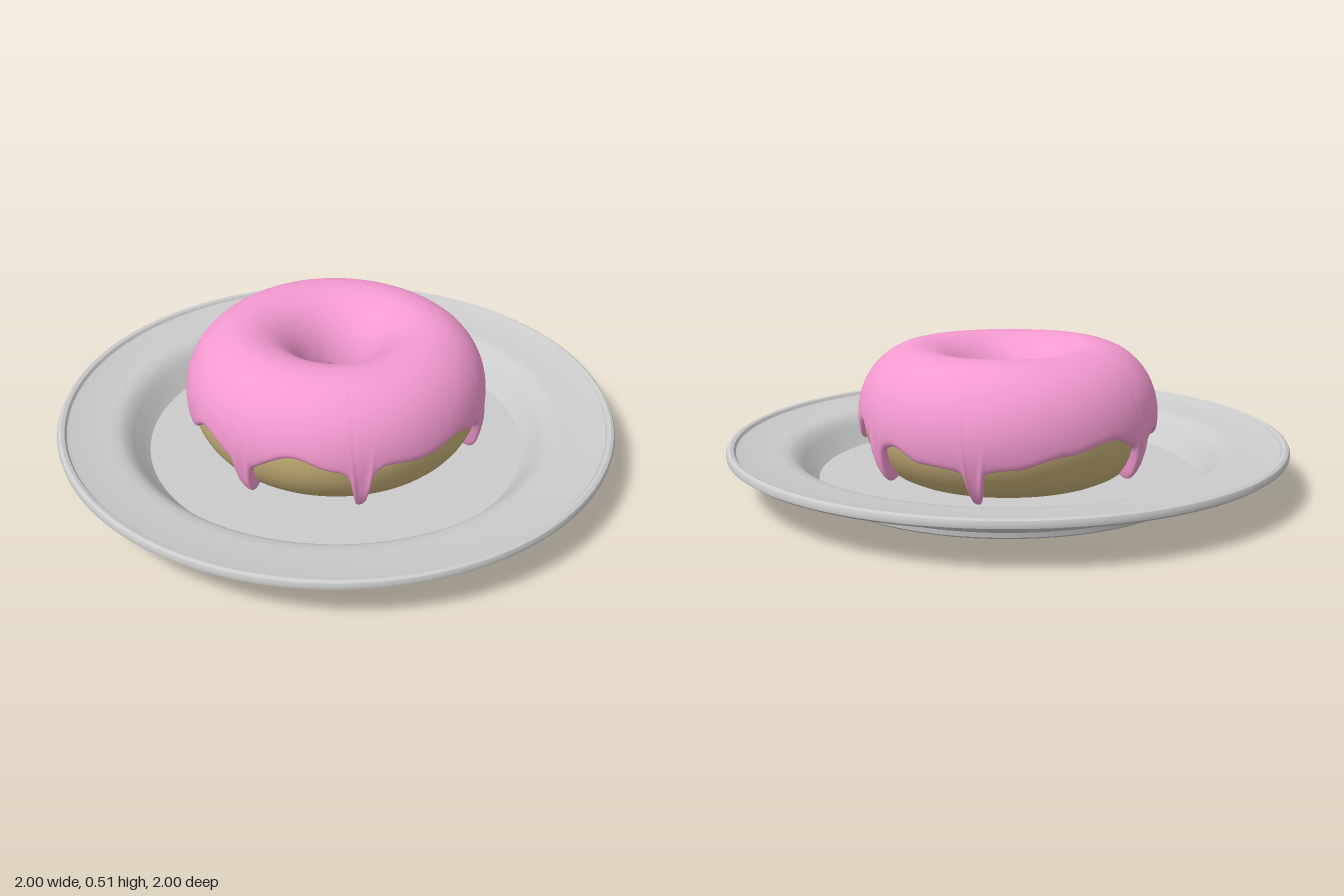
import * as THREE from 'three';
import { toCreasedNormals } from 'three/addons/utils/BufferGeometryUtils.js';

// Ring-shaped dough: ring radius, tube half-width, tube half-height, centre height
const RING = 0.325, TUBE = 0.195, HALF_H = 0.225, MID_Y = 0.265;

// Icing hem: [azimuth in degrees from the front towards +x, height]
const HEM = [
  [3, 0.2], [24, 0.28], [40, 0.24], [49, 0.2], [58, 0.25], [72, 0.24], [90, 0.265],
  [104, 0.235], [112, 0.2], [125, 0.24], [138, 0.255], [146, 0.18], [156, 0.265],
  [171, 0.2], [182, 0.22], [195, 0.18], [216, 0.17], [230, 0.18], [250, 0.22],
  [270, 0.25], [288, 0.2], [302, 0.23], [318, 0.18], [328, 0.2], [343, 0.265], [363, 0.2],
];
// Long drips: [azimuth, height of the tip]
const DRIPS = [[3, 0.087], [49, 0.096], [112, 0.115], [171, 0.09], [216, 0.065], [288, 0.093]];

function hemHeight(az) {
  if (az < HEM[0][0]) az += 360;
  const i = HEM.findIndex((p, k) => k > 0 && az <= p[0]);
  const [a0, y0] = HEM[i - 1], [a1, y1] = HEM[i];
  return THREE.MathUtils.lerp(y0, y1, THREE.MathUtils.smoothstep(az, a0, a1));
}

function angleGap(a, b) {
  return ((a - b + 540) % 360) - 180;
}

function buildPlate(material) {
  const profile = [
    [0, 0], [0.66, 0], [0.672, 0.008], [0.675, 0.025], [0.7, 0.035], [0.735, 0.068],
    [0.765, 0.1], [0.785, 0.114], [0.81, 0.12], [0.95, 0.13], [0.985, 0.136],
    [0.998, 0.145], [1, 0.157], [0.995, 0.168], [0.985, 0.173], [0.973, 0.17],
    [0.966, 0.16], [0.955, 0.156], [0.82, 0.147], [0.785, 0.143], [0.76, 0.13],
    [0.735, 0.105], [0.705, 0.065], [0.68, 0.04], [0, 0.04],
  ].map(([x, y]) => new THREE.Vector2(x, y));
  const geometry = toCreasedNormals(new THREE.LatheGeometry(profile, 128), 0.6);
  const plate = new THREE.Mesh(geometry, material);
  plate.name = 'plate';
  return plate;
}

function buildDough(material) {
  const geometry = new THREE.TorusGeometry(RING, TUBE, 40, 96);
  geometry.rotateX(Math.PI / 2);
  geometry.scale(1, HALF_H / TUBE, 1);
  geometry.translate(0, MID_Y, 0);
  const dough = new THREE.Mesh(geometry, material);
  dough.name = 'dough';
  return dough;
}

// Shell over the dough, swept from the outer hem over the top to the inner hem
function buildIcing(material) {
  const COLS = 480, THICK = 0.018, LIP = 0.1;
  const steps = [0, 0.006, 0.02, 0.045, 0.08, 0.13, 0.2]; // fine rows at each hem
  const positions = [], index = [];
  const MIDDLE = 30;
  const rows = 2 * steps.length + MIDDLE;

  for (let c = 0; c < COLS; c++) {
    const az = (c / COLS) * 360, a = THREE.MathUtils.degToRad(az);

    // Outer hem with drips
    let hem = hemHeight(az), drip = 0;
    for (const [at, tip] of DRIPS) {
      const d = angleGap(az, at);
      const w = Math.exp(-((d / 3.2) ** 4)) * 0.9 + Math.exp(-((d / 6) ** 2)) * 0.1;
      hem = THREE.MathUtils.lerp(hem, tip, w);
      drip = Math.max(drip, w);
    }
    const start = Math.asin((hem - MID_Y) / HALF_H);

    // Inner hem, gently wavy with two short runs
    const run = Math.exp(-((angleGap(az, 275) / 14) ** 2)) + Math.exp(-((angleGap(az, 318) / 12) ** 2));
    const inner = 0.235 + 0.02 * Math.sin(5 * a) + 0.012 * Math.sin(8 * a + 1) - 0.06 * run;
    const end = Math.PI - Math.asin((inner - MID_Y) / HALF_H);

    for (let r = 0; r < rows; r++) {
      let phi;
      if (r < steps.length) phi = start + steps[r];
      else if (r >= rows - steps.length) phi = end - steps[rows - 1 - r];
      else {
        const t = (r - steps.length + 1) / (MIDDLE + 1);
        phi = THREE.MathUtils.lerp(start + 0.2, end - 0.2, t);
      }
      // Rounded lip at the hem, a bead at drip tips, slight unevenness on top
      const fromStart = phi - start, gap = Math.min(fromStart, end - phi);
      const k = Math.min(gap / LIP, 1);
      const round = Math.sqrt(1 - (1 - k) ** 2);
      const bead = 0.022 * drip * Math.exp(-(((fromStart - 0.15) / 0.3) ** 2));
      const inBead = 0.012 * run * Math.exp(-(((end - phi - 0.2) / 0.3) ** 2));
      const uneven = 0.002 * Math.sin(3 * a + 2) * Math.max(Math.sin(phi), 0);
      const off = round * (THICK + bead + inBead + uneven) - 0.002;
      const radius = RING + (TUBE + off) * Math.cos(phi);
      positions.push(radius * Math.sin(a), MID_Y + (HALF_H + off) * Math.sin(phi), radius * Math.cos(a));

      if (r < rows - 1) {
        const p = c * rows + r, q = ((c + 1) % COLS) * rows + r;
        index.push(p, q, p + 1, q, q + 1, p + 1);
      }
    }
  }
  const geometry = new THREE.BufferGeometry();
  geometry.setAttribute('position', new THREE.Float32BufferAttribute(positions, 3));
  geometry.setIndex(index);
  geometry.computeVertexNormals();
  const icing = new THREE.Mesh(geometry, material);
  icing.name = 'icing';
  return icing;
}

export function createModel() {
  const paint = (color) => new THREE.MeshStandardMaterial({ color });
  const model = new THREE.Group();
  model.name = 'doughnutOnPlate';

  const doughnut = new THREE.Group();
  doughnut.name = 'doughnut';
  doughnut.add(buildDough(paint(0xc8b27a)), buildIcing(paint(0xf49ad0)));

  model.add(buildPlate(paint(0xcccccc)), doughnut);
  return model;
}
